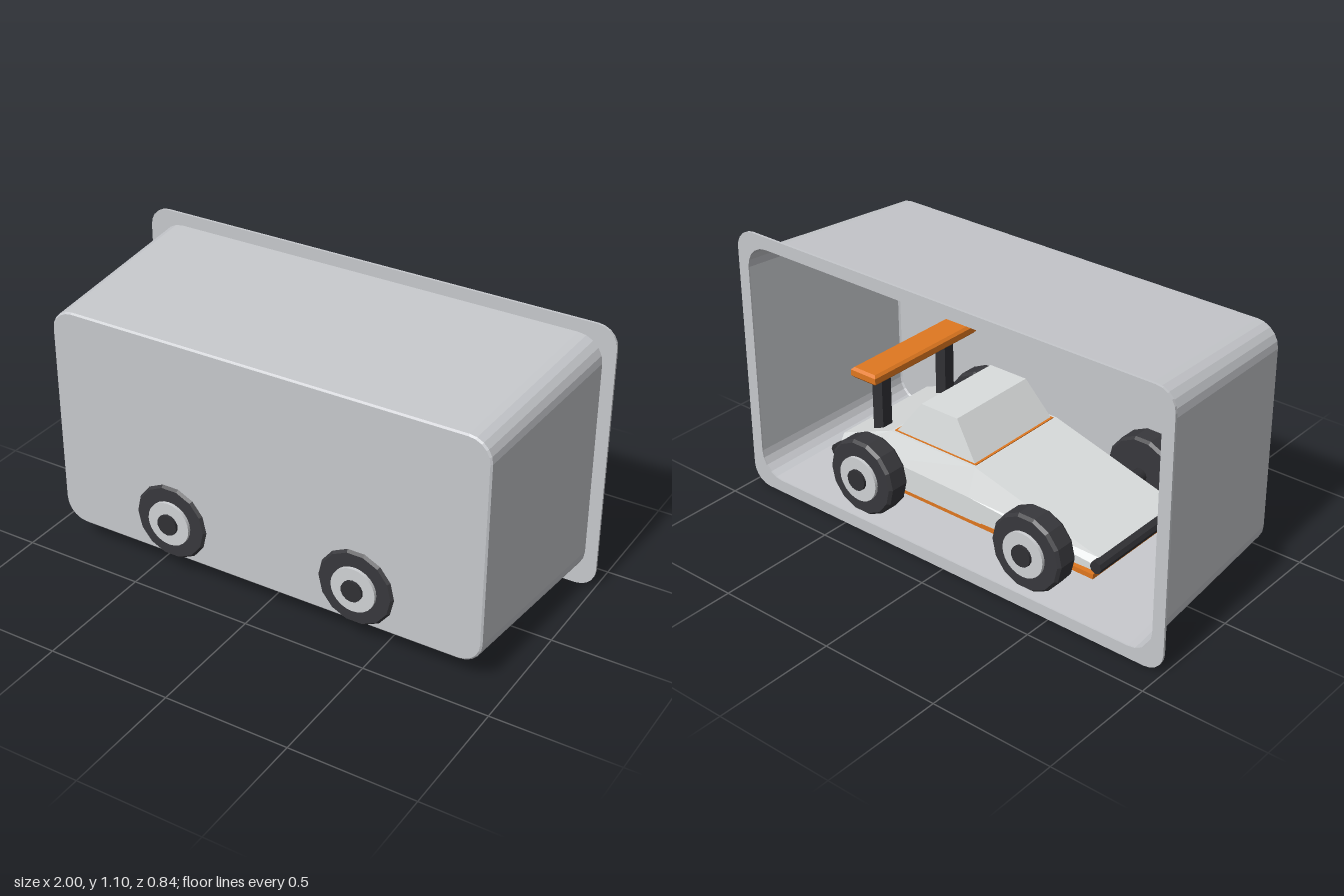
import * as THREE from 'three';

const V = (x, y, z) => new THREE.Vector3(x, y, z);

// Joins equal-length rings (anticlockwise seen from the last ring) into a faceted skin
function loft(rings, capStart = true, capEnd = true) {
  const pos = [];
  const tri = (...pts) => pts.forEach((p) => pos.push(p.x, p.y, p.z));
  const n = rings[0].length;
  for (let i = 0; i < rings.length - 1; i++) {
    for (let j = 0; j < n; j++) {
      const k = (j + 1) % n;
      const [a, b, c, d] = [rings[i][j], rings[i][k], rings[i + 1][k], rings[i + 1][j]];
      tri(a, b, d);
      tri(b, c, d);
    }
  }
  const first = rings[0], last = rings[rings.length - 1];
  for (let j = 1; j < n - 1; j++) {
    if (capStart) tri(first[0], first[j + 1], first[j]);
    if (capEnd) tri(last[0], last[j], last[j + 1]);
  }
  const g = new THREE.BufferGeometry();
  g.setAttribute('position', new THREE.Float32BufferAttribute(pos, 3));
  g.computeVertexNormals();
  return g;
}

// Rounded rectangle, anticlockwise, centred on x = 0
function roundedRect(hw, y0, y1, r, segs = 5) {
  const pts = [];
  const corners = [[hw - r, y0 + r, -1], [hw - r, y1 - r, 0], [r - hw, y1 - r, 1], [r - hw, y0 + r, 2]];
  for (const [cx, cy, q] of corners) {
    for (let i = 0; i <= segs; i++) {
      const a = (q + i / segs) * Math.PI / 2;
      pts.push(new THREE.Vector2(cx + r * Math.cos(a), cy + r * Math.sin(a)));
    }
  }
  return pts;
}

function flat(g) {
  const f = g.toNonIndexed();
  f.computeVertexNormals();
  return f;
}

export function createModel() {
  const model = new THREE.Group();
  model.name = 'boxedToyCar';

  const material = (name, color) => {
    const m = new THREE.MeshStandardMaterial({ color });
    m.name = name;
    return m;
  };
  const shellGrey = material('shellGrey', 0xc6c8cc);
  shellGrey.side = THREE.DoubleSide;
  const bodyWhite = material('bodyWhite', 0xdadddd);
  const rimSilver = material('rimSilver', 0xcfd1d4);
  const rubber = material('rubber', 0x38383c);
  const trimDark = material('trimDark', 0x303034);
  const orange = material('orange', 0xe07820);

  const add = (name, geo, mat, x = 0, y = 0, z = 0, parent = model) => {
    const m = new THREE.Mesh(geo, mat);
    m.name = name;
    m.position.set(x, y, z);
    parent.add(m);
    return m;
  };

  // Tapered shell, open at the back
  const shellRings = [
    [-0.378, 0.95, 0.052, 1.053, 0.1],
    [0.378, 0.905, 0.094, 1.009, 0.09],
    [0.384, 0.898, 0.101, 1.002, 0.083],
  ].map(([z, hw, y0, y1, r]) => roundedRect(hw, y0, y1, r).map((p) => V(p.x, p.y, z)));
  add('shell', loft(shellRings, false, true), shellGrey);

  // Flat rim around the opening
  const rim = new THREE.Shape(roundedRect(1, 0, 1.104, 0.08));
  rim.holes.push(new THREE.Path(roundedRect(0.95, 0.052, 1.053, 0.1).reverse()));
  add('shellRim', new THREE.ExtrudeGeometry(rim, { depth: 0.01, bevelEnabled: false }), shellGrey, 0, 0, -0.384);

  const car = new THREE.Group();
  car.name = 'car';
  model.add(car);

  // Wedge body: x, belt height, top height, belt half width, top half width
  const bodyRings = [
    [-0.61, 0.212, 0.235, 0.255, 0.235],
    [-0.04, 0.28, 0.39, 0.28, 0.24],
    [0.38, 0.29, 0.39, 0.28, 0.24],
    [0.63, 0.25, 0.29, 0.265, 0.24],
  ].map(([x, yb, yt, wb, wt]) => [
    V(x, 0.185, -wb), V(x, yb, -wb), V(x, yt, -wt), V(x, yt, wt), V(x, yb, wb), V(x, 0.185, wb),
  ]);
  add('body', loft(bodyRings), bodyWhite, 0, 0, 0, car);
  add('floorPan', new THREE.BoxGeometry(1.25, 0.02, 0.555), orange, 0.01, 0.178, 0, car);

  // Cabin with an orange seam at its foot
  const cabinRing = (x0, x1, y, w) => [V(x0, y, w), V(x1, y, w), V(x1, y, -w), V(x0, y, -w)];
  add('cabin', loft([cabinRing(-0.03, 0.365, 0.385, 0.225), cabinRing(0.08, 0.255, 0.534, 0.2)]),
    bodyWhite, 0, 0, 0, car);
  add('cabinSeam', new THREE.BoxGeometry(0.403, 0.008, 0.458), orange, 0.1675, 0.389, 0, car);

  // Rear wing on two struts
  const wingRing = (y, i) => cabinRing(0.405 + i, 0.53 - i, y, 0.288 - i);
  add('wing', loft([wingRing(0.588, 0.01), wingRing(0.598, 0), wingRing(0.622, 0), wingRing(0.632, 0.01)]),
    orange, 0, 0, 0, car);
  for (const z of [-0.18, 0.18]) {
    add('wingStrut', new THREE.BoxGeometry(0.05, 0.27, 0.05), trimDark, 0.477, 0.46, z, car);
  }

  // Front and rear bumper bars
  const bar = flat(new THREE.CylinderGeometry(0.025, 0.025, 0.54, 8).rotateX(Math.PI / 2));
  add('frontBumper', bar, trimDark, -0.62, 0.215, 0, car);
  add('rearBumper', bar, trimDark, 0.65, 0.215, 0, car);

  // Wheels: bevelled tyre, rim disc and centre cap
  const sides = 14;
  const tyreProfile = [[0, -0.098], [0.147, -0.098], [0.157, -0.086], [0.157, -0.012], [0.147, 0], [0, 0]]
    .map(([r, h]) => new THREE.Vector2(r, h));
  const tyre = flat(new THREE.LatheGeometry(tyreProfile, sides, Math.PI / sides).rotateX(Math.PI / 2));
  const disc = new THREE.CylinderGeometry(0.091, 0.091, 0.03, 24).rotateX(Math.PI / 2);
  const cap = new THREE.CylinderGeometry(0.043, 0.043, 0.03, 14).rotateX(Math.PI / 2);
  const axle = new THREE.CylinderGeometry(0.03, 0.03, 0.62, 12).rotateX(Math.PI / 2);
  for (const x of [-0.4, 0.4]) {
    add('axle', axle, trimDark, x, 0.245, 0, car);
    for (const s of [-1, 1]) {
      const wheel = new THREE.Group();
      wheel.name = 'wheel';
      wheel.position.set(x, 0.245, s * 0.395);
      if (s < 0) wheel.rotation.y = Math.PI;
      car.add(wheel);
      add('tyre', tyre, rubber, 0, 0, 0, wheel);
      add('rimDisc', disc, rimSilver, 0, 0, -0.002, wheel);
      add('hubCap', cap, trimDark, 0, 0, 0.009, wheel);
    }
  }
  return model;
}
